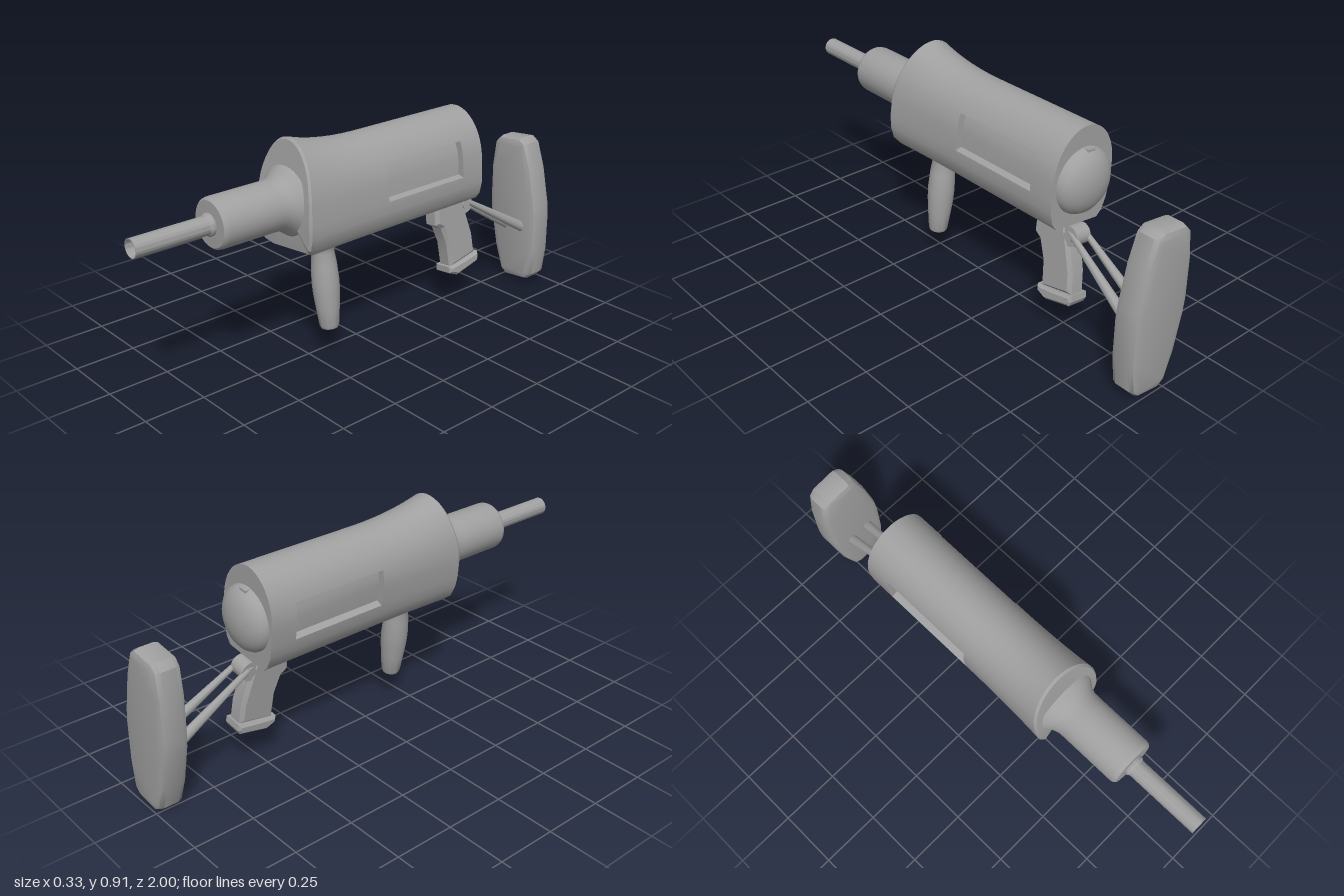
import * as THREE from 'three';
import { toCreasedNormals } from 'three/addons/utils/BufferGeometryUtils.js';

const grey = new THREE.MeshStandardMaterial({ color: 0xa0a0a0, side: THREE.DoubleSide });
grey.name = 'grey';

function part(name, geometry, crease = 0.6) {
  const mesh = new THREE.Mesh(toCreasedNormals(geometry, crease), grey);
  mesh.name = name;
  return mesh;
}

const lathe = (profile, segments = 40) =>
  new THREE.LatheGeometry(profile.map(([r, h]) => new THREE.Vector2(r, h)), segments);
const latheZ = (profile) => lathe(profile).rotateX(Math.PI / 2);

function fromTriangles(list) {
  const geo = new THREE.BufferGeometry();
  geo.setAttribute('position', new THREE.Float32BufferAttribute(list, 3));
  geo.computeVertexNormals();
  return geo;
}

// Bevelled plate from an outline, centred on its thickness
function plate(points, depth, bevel, segments = 2) {
  const shape = new THREE.Shape(points.map(([x, y]) => new THREE.Vector2(x, y)));
  return new THREE.ExtrudeGeometry(shape, {
    depth, bevelEnabled: true, bevelThickness: bevel, bevelSize: bevel,
    bevelOffset: -bevel, bevelSegments: segments,
  }).translate(0, 0, -depth / 2);
}

// Body cross-section: flat bottom, tapered lower sides, elliptical top
const WIN_A = 0.406;
function section(hw, top) {
  const half = [[0.7 * hw, -0.193], [0.85 * hw, -0.168], [0.955 * hw, -0.12], [0.985 * hw, -0.075]];
  for (const a of [0, 0.2]) half.push([hw * Math.cos(a), top * Math.sin(a)]);
  for (let k = 0; k < 8; k++) {
    const a = WIN_A + (k / 8) * (Math.PI / 2 - WIN_A);
    half.push([hw * Math.cos(a), top * Math.sin(a)]);
  }
  return [...half, [0, top], ...half.slice().reverse().map(([x, y]) => [-x, y])];
}

const REAR = -0.56, WIN0 = -0.45, WIN1 = -0.04;
const HW = 0.147, TOP = 0.19;

// Slanted front rim
function rimZ(y) {
  if (y > 0.03) return 0.343 - 0.04 * ((y - 0.03) / 0.207);
  return y < -0.17 ? 0.33 : 0.343 + 0.008 * Math.min(1, (0.03 - y) / 0.1);
}

function bodyGeometry() {
  const rings = [REAR, WIN0, WIN1].map((z) => section(HW, TOP).map(([x, y]) => [x, y, z]));
  for (const s of [0.2, 0.35, 0.5, 0.65, 0.8, 0.92, 1]) {
    const f = Math.pow(s, 2.2);
    rings.push(section(HW + 0.013 * f, TOP + 0.047 * f)
      .map(([x, y]) => [x, y, WIN1 + s * (rimZ(y) - WIN1)]));
  }
  // Softened front edge
  rings.push(rings.at(-1).map(([x, y, z]) => [x * 0.96, y * 0.965, z + 0.01]));
  const n = rings[0].length, out = [];
  const isWindow = (j) => (j >= 3 && j < 6) || (j >= n - 7 && j < n - 4);
  for (let i = 0; i < rings.length - 1; i++) {
    for (let j = 0; j < n; j++) {
      if (i === 1 && isWindow(j)) continue;
      const k = (j + 1) % n;
      const a = rings[i][j], b = rings[i][k], c = rings[i + 1][k], d = rings[i + 1][j];
      out.push(...a, ...b, ...c, ...a, ...c, ...d);
    }
  }
  // End faces
  const front = rings.at(-1), rear = rings[0];
  for (let j = 0; j < n; j++) {
    const k = (j + 1) % n;
    out.push(0, 0, 0.358, ...front[j], ...front[k]);
    out.push(0, 0, REAR, ...rear[k], ...rear[j]);
  }
  return fromTriangles(out);
}

// Recessed side window: curved floor, walls and ends
function pocketGeometry(side) {
  const outer = section(HW, TOP).slice(3, 7).map(([x, y]) => [side * x, y]);
  const inner = outer.map(([x, y]) => [x - side * 0.027, y * 0.88]);
  const strip = [outer[0], ...inner, outer[3]];
  const out = [];
  const quad = (a, b, c, d) =>
    out.push(...(side > 0 ? [a, b, c, a, c, d] : [a, c, b, a, d, c]).flat());
  for (let j = 0; j < strip.length - 1; j++) {
    const p = strip[j], q = strip[j + 1];
    quad([...p, WIN0], [...q, WIN0], [...q, WIN1], [...p, WIN1]);
  }
  for (let j = 0; j < 3; j++) {
    quad([...inner[j], WIN0], [...outer[j], WIN0], [...outer[j + 1], WIN0], [...inner[j + 1], WIN0]);
    quad([...inner[j], WIN1], [...inner[j + 1], WIN1], [...outer[j + 1], WIN1], [...outer[j], WIN1]);
  }
  return fromTriangles(out);
}

// Tapered rod between two points
function rod(a, b, r0, r1) {
  const from = new THREE.Vector3(...a), to = new THREE.Vector3(...b);
  const dir = to.clone().sub(from);
  const turn = new THREE.Quaternion().setFromUnitVectors(new THREE.Vector3(0, 1, 0), dir.clone().normalize());
  const mid = from.add(to).multiplyScalar(0.5);
  return new THREE.CylinderGeometry(r1, r0, dir.length(), 12)
    .applyQuaternion(turn).translate(mid.x, mid.y, mid.z);
}

export function createModel() {
  const model = new THREE.Group();
  model.name = 'model';
  // Everything is built around the barrel axis, then rolled slightly
  const g = new THREE.Group();
  g.name = 'rolledAssembly';
  g.position.set(-0.005, 0.673, 0);
  g.rotation.z = 0.115;
  model.add(g);

  g.add(part('body', bodyGeometry(), 0.5));
  g.add(part('leftWindow', pocketGeometry(1), 0.5), part('rightWindow', pocketGeometry(-1), 0.5));

  // Barrel
  g.add(part('barrelShroud', latheZ([
    [0.138, 0.34], [0.122, 0.362], [0.106, 0.382], [0.099, 0.405], [0.098, 0.43], [0.098, 0.66],
    [0.095, 0.673], [0.088, 0.68], [0.043, 0.681], [0.043, 0.69], [0.036, 0.7]])));
  g.add(part('barrel', latheZ([[0.036, 0.68], [0.036, 1], [0.033, 1], [0.033, 0.69], [0, 0.69]])));

  // Rear dome and latch
  g.add(part('rearCap', latheZ([
    [0, -0.627], [0.04, -0.624], [0.075, -0.615], [0.1, -0.602], [0.118, -0.587],
    [0.128, -0.57], [0.13, -0.555]]).translate(0, -0.02, 0)));
  g.add(part('latch', new THREE.BoxGeometry(0.035, 0.016, 0.03).translate(0, 0.1, -0.57)));

  // Front grip
  g.add(part('frontGrip', lathe([
    [0, -0.552], [0.034, -0.552], [0.039, -0.54], [0.047, -0.47], [0.053, -0.41], [0.055, -0.36],
    [0.051, -0.29], [0.045, -0.24], [0.048, -0.222], [0.056, -0.205], [0.07, -0.185]], 24)
    .translate(0, 0, 0.19)));

  // Rear grip, drawn as (-z, y)
  g.add(part('rearGrip', plate([
    [0.39, -0.17], [0.39, -0.288], [0.42, -0.308], [0.447, -0.38], [0.458, -0.49],
    [0.608, -0.46], [0.6, -0.375], [0.57, -0.275], [0.535, -0.17]], 0.052, 0.014, 1)
    .rotateY(Math.PI / 2), 0.3));
  g.add(part('gripBase', plate([
    [0.445, -0.485], [0.446, -0.512], [0.49, -0.53], [0.612, -0.502], [0.622, -0.482],
    [0.618, -0.457], [0.53, -0.474]], 0.076, 0.01, 1).rotateY(Math.PI / 2), 0.3));

  // Hinge and stock arms
  g.add(part('hinge', new THREE.CylinderGeometry(0.04, 0.04, 0.07, 24)
    .rotateZ(Math.PI / 2).translate(0, -0.235, -0.565)));
  g.add(part('hingePin', new THREE.CylinderGeometry(0.02, 0.02, 0.084, 20)
    .rotateZ(Math.PI / 2).translate(0, -0.235, -0.565)));
  for (const s of [1, -1]) {
    g.add(part(s > 0 ? 'leftStockArm' : 'rightStockArm',
      rod([s * 0.032, -0.225, -0.575], [s * 0.045, -0.425, -0.905], 0.011, 0.023)));
  }

  // Shoulder stock
  const half = [[0.055, -0.325], [0.085, -0.3], [0.111, -0.19], [0.128, -0.03],
    [0.128, 0.03], [0.111, 0.19], [0.085, 0.3], [0.055, 0.325]];
  const outline = [...half, ...half.slice().reverse().map(([x, y]) => [-x, y])];
  g.add(part('stock', plate(outline, 0.062, 0.024, 2).translate(0, -0.345, -0.945)));

  return model;
}
